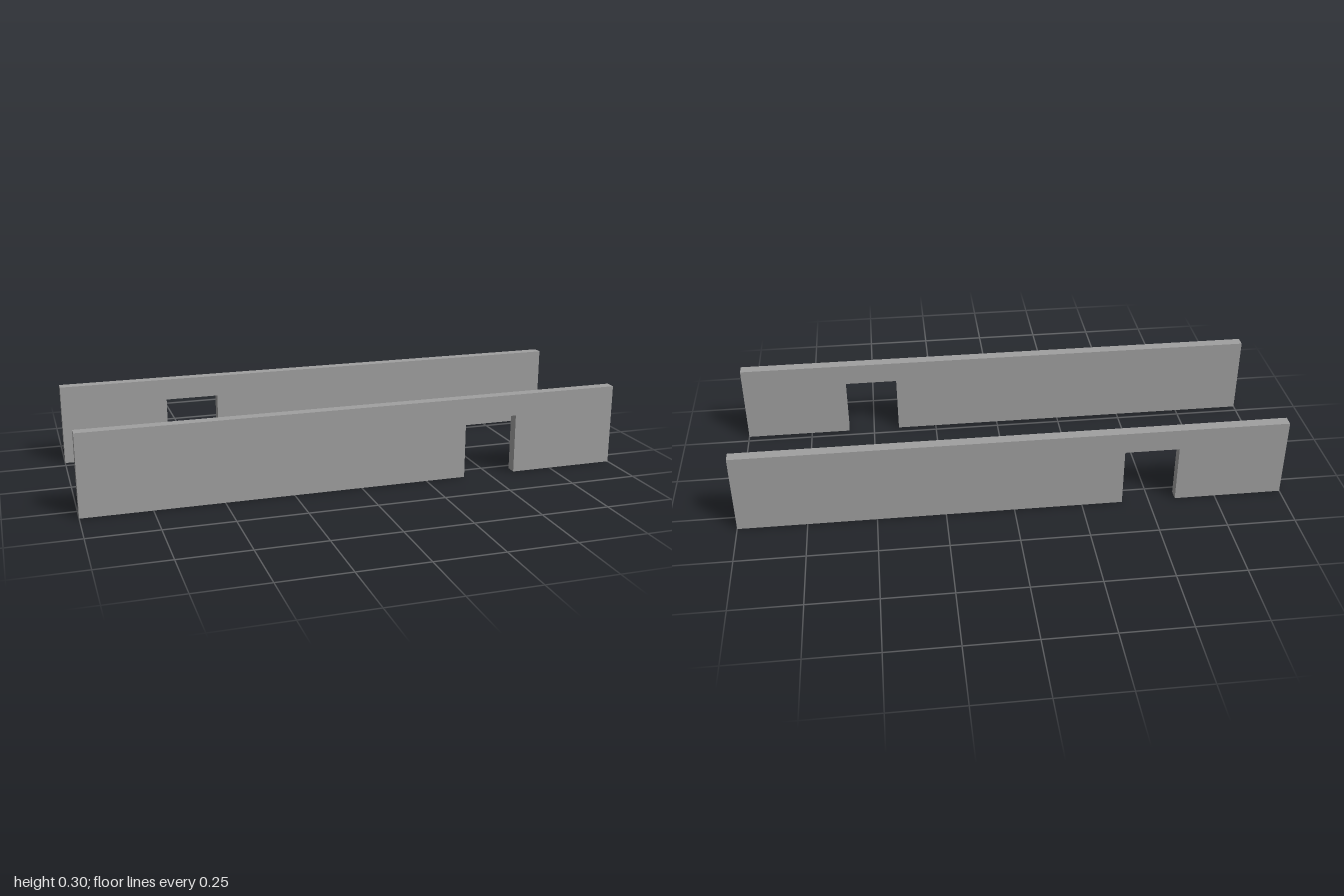
import * as THREE from 'three';

const LENGTH = 2, HEIGHT = 0.3, THICK = 0.04, WALL_Z = 0.3;
const DOOR_LEFT = 0.4, DOOR_RIGHT = 0.6, DOOR_TOP = 0.22;

// Straight wall with a doorway notched out of its lower edge
function wallGeometry() {
  const h = LENGTH / 2;
  const outline = [
    [-h, 0], [DOOR_LEFT, 0], [DOOR_LEFT, DOOR_TOP], [DOOR_RIGHT, DOOR_TOP],
    [DOOR_RIGHT, 0], [h, 0], [h, HEIGHT], [-h, HEIGHT],
  ].map(([x, y]) => new THREE.Vector2(x, y));
  const geometry = new THREE.ExtrudeGeometry(new THREE.Shape(outline), {
    depth: THICK, bevelEnabled: false,
  });
  return geometry.translate(0, 0, WALL_Z - THICK / 2);
}

export function createModel() {
  const model = new THREE.Group();
  model.name = 'pairedWalls';
  const grey = new THREE.MeshStandardMaterial({ color: 0xa0a0a0 });
  grey.name = 'grey';
  const geometry = wallGeometry();

  // The back wall is the front wall turned half way round the centre
  ['frontWall', 'backWall'].forEach((name, i) => {
    const wall = new THREE.Mesh(geometry, grey);
    wall.name = name;
    wall.rotation.y = i * Math.PI;
    model.add(wall);
  });
  return model;
}
